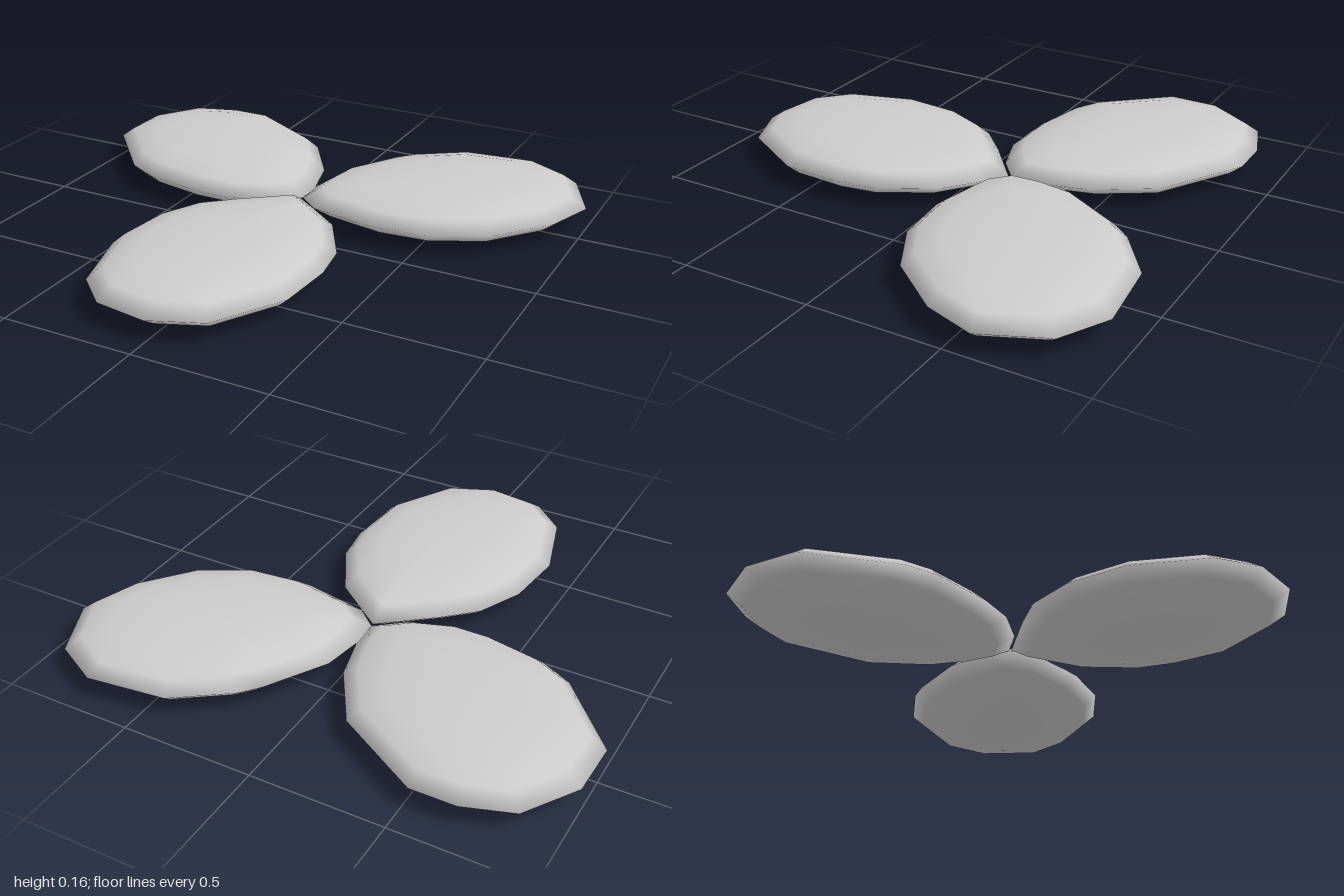
import * as THREE from 'three';
import { mergeVertices } from 'three/addons/utils/BufferGeometryUtils.js';

const MID = 0.085; // height of the rim

// Half section of a petal: [scale of the outline, height above or below the rim]
const HALF = [[0, 0.082], [0.35, 0.08], [0.65, 0.067], [0.88, 0.042]];
const SECTION = [...HALF, [1, 0], ...HALF.map(([s, h]) => [s, -h]).reverse()];

// Outlines as [x, z], clockwise seen from above, starting at the inner tip
const PETALS = [
  {
    name: 'frontPetal', centre: [-0.02, 0.4],
    outline: [[0, -0.18], [0.08, -0.12], [0.21, -0.02], [0.33, 0.19], [0.355, 0.35], [0.34, 0.58], [0.19, 0.84],
      [0, 0.92], [-0.2, 0.89], [-0.33, 0.77], [-0.415, 0.49], [-0.39, 0.25], [-0.31, 0.08], [-0.19, -0.03]],
  },
  {
    name: 'backLeftPetal', centre: [0.52, -0.5],
    outline: [[0, -0.19], [-0.005, -0.31], [0.02, -0.46], [0.15, -0.68], [0.21, -0.75], [0.41, -0.89], [0.71, -0.925],
      [0.89, -0.83], [0.995, -0.6], [0.93, -0.41], [0.76, -0.2], [0.55, -0.09], [0.33, -0.07], [0.08, -0.12]],
  },
  {
    name: 'backRightPetal', centre: [-0.53, -0.47],
    outline: [[0, -0.19], [-0.1, -0.11], [-0.26, -0.055], [-0.41, -0.055], [-0.64, -0.1], [-0.76, -0.16], [-1, -0.43],
      [-0.995, -0.64], [-0.87, -0.83], [-0.69, -0.89], [-0.52, -0.89], [-0.19, -0.7], [-0.05, -0.48], [-0.005, -0.31]],
  },
];

// Lens-shaped body: the outline shrinks towards its centre above and below the rim
function petalGeometry(outline, [cx, cz]) {
  const n = outline.length;
  const positions = [];
  const index = [];
  for (const [s, h] of SECTION) {
    for (const [x, z] of outline) positions.push(cx + (x - cx) * s, MID + h, cz + (z - cz) * s);
  }
  const last = SECTION.length - 2;
  for (let i = 0; i <= last; i++) {
    for (let j = 0; j < n; j++) {
      const k = (j + 1) % n;
      const a = i * n + j, b = i * n + k, c = a + n, d = b + n;
      if (i > 0) index.push(a, b, c);
      if (i < last) index.push(b, d, c);
    }
  }
  const geometry = new THREE.BufferGeometry();
  geometry.setAttribute('position', new THREE.Float32BufferAttribute(positions, 3));
  geometry.setIndex(index);
  const merged = mergeVertices(geometry, 1e-5);
  merged.computeVertexNormals();
  return merged;
}

export function createModel() {
  const group = new THREE.Group();
  group.name = 'threePetals';
  const material = new THREE.MeshStandardMaterial({ color: 0xcccccc });
  for (const { name, outline, centre } of PETALS) {
    const petal = new THREE.Mesh(petalGeometry(outline, centre), material);
    petal.name = name;
    group.add(petal);
  }
  return group;
}
